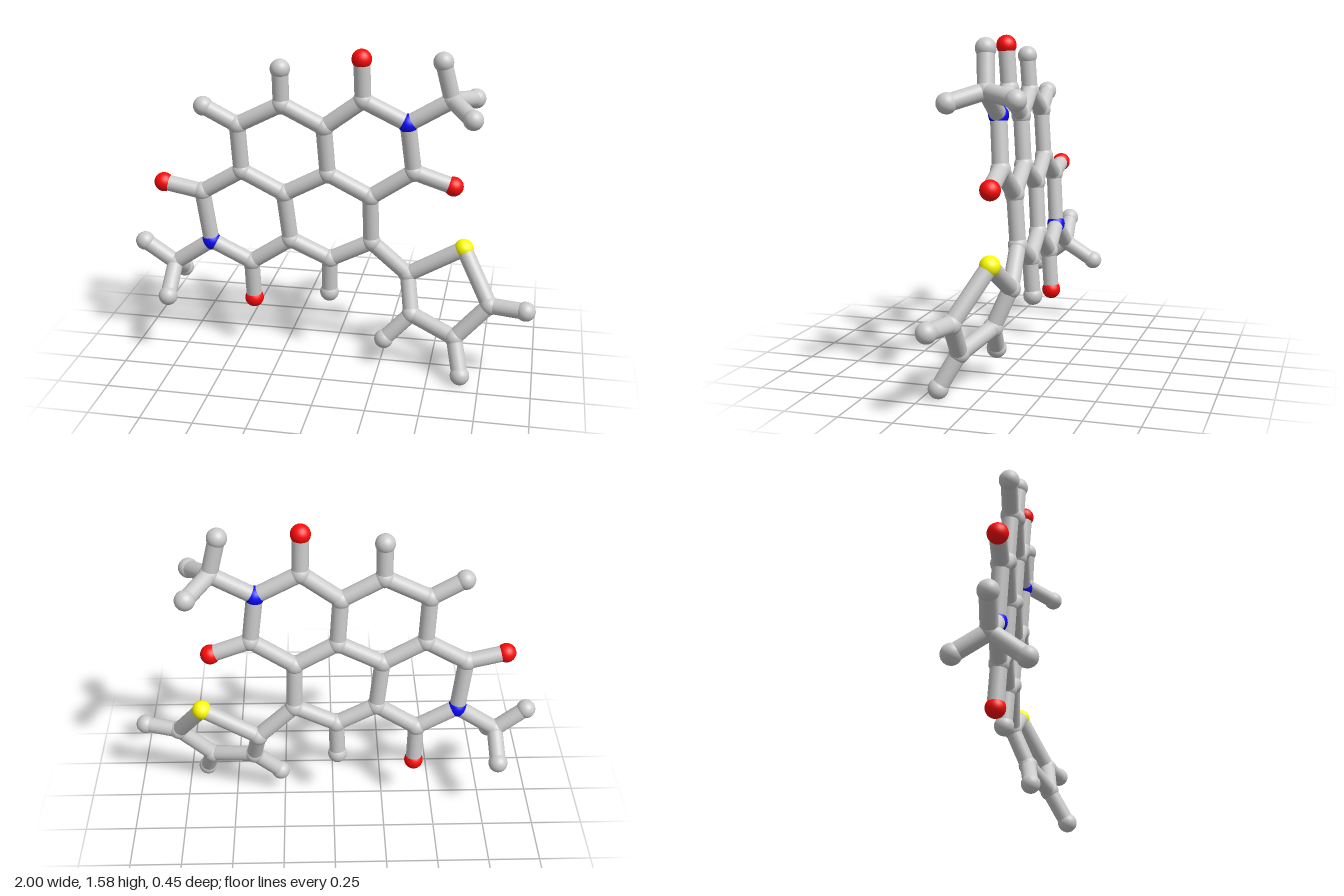
import * as THREE from 'three';

const ATOM_RADIUS = 0.047;
const BOND_RADIUS = 0.039;

// The fused ring sheet is flat and slightly tilted
const sheet = (x, y) => [x, y, -0.087 - 0.04 * x + 0.072 * y];

// Atoms, named by element and place
const atoms = {
  // four fused rings
  C1: sheet(-0.45, 1.2), C2: sheet(-0.235, 1.31), C3: sheet(-0.035, 1.205),
  C4: sheet(-0.02, 0.97), C5: sheet(-0.235, 0.855), C6: sheet(-0.44, 0.965),
  C7: sheet(-0.64, 0.845), N1: sheet(-0.61, 0.58), C8: sheet(-0.41, 0.475),
  C9: sheet(-0.21, 0.61), C10: sheet(-0.015, 0.515), C11: sheet(0.19, 0.62),
  C12: sheet(0.185, 0.86), C13: sheet(0.39, 1.0), N2: sheet(0.36, 1.24),
  C14: sheet(0.15, 1.345),
  // ends on the sheet
  O1: sheet(-0.83, 0.885), O2: sheet(-0.405, 0.27), O3: sheet(0.58, 0.935),
  O4: sheet(0.145, 1.543), H1: sheet(-0.61, 1.287), H2: sheet(-0.235, 1.483),
  H3: sheet(-0.02, 0.33),
  // twisted five-sided ring
  C15: [0.37, 0.455, -0.07], S1: [0.64, 0.615, -0.06], C16: [0.78, 0.385, 0.068],
  C17: [0.62, 0.21, 0.09], C18: [0.4, 0.275, 0.005],
  H4: [0.952, 0.39, 0.113], H5: [0.66, 0.053, 0.175], H6: [0.27, 0.14, 0.03],
  // upper right three-armed end
  C19: [0.56, 1.36, -0.02], H7: [0.515, 1.54, -0.005],
  H8: [0.667, 1.312, 0.12], H9: [0.658, 1.33, -0.183],
  // lower left three-armed end
  C20: [-0.805, 0.445, -0.025], H10: [-0.953, 0.555, -0.01],
  H11: [-0.8, 0.328, 0.13], H12: [-0.81, 0.35, -0.178],
};

// Chains of bonded atoms
const chains = [
  'C1 C2 C3 C4 C5 C6 C1', 'C6 C7 N1 C8 C9 C5', 'C9 C10 C11 C12 C4',
  'C12 C13 N2 C14 C3', 'C7 O1', 'C8 O2', 'C13 O3', 'C14 O4',
  'C1 H1', 'C2 H2', 'C10 H3',
  'C11 C15 S1 C16 C17 C18 C15', 'C16 H4', 'C17 H5', 'C18 H6',
  'N2 C19 H7', 'H8 C19 H9', 'N1 C20 H10', 'H11 C20 H12',
];

const elements = {
  C: ['carbon', 0xcccccc], H: ['hydrogen', 0xcccccc], O: ['oxygen', 0xff0a0a],
  N: ['nitrogen', 0x0a0aff], S: ['sulfur', 0xffff00],
};

export function createModel() {
  const model = new THREE.Group();
  model.name = 'molecule';
  const atomGroup = new THREE.Group();
  atomGroup.name = 'atoms';
  const bondGroup = new THREE.Group();
  bondGroup.name = 'bonds';
  model.add(atomGroup, bondGroup);

  const materials = {};
  for (const key in elements) {
    materials[key] = new THREE.MeshStandardMaterial({ color: elements[key][1] });
  }
  const ball = new THREE.SphereGeometry(ATOM_RADIUS, 28, 18);
  const rod = new THREE.CylinderGeometry(BOND_RADIUS, BOND_RADIUS, 1, 24, 1, true);
  const up = new THREE.Vector3(0, 1, 0);

  // Atom balls
  for (const [id, position] of Object.entries(atoms)) {
    const mesh = new THREE.Mesh(ball, materials[id[0]]);
    mesh.name = elements[id[0]][0] + id.slice(1);
    mesh.position.set(...position);
    atomGroup.add(mesh);
  }

  // Bond rods between neighbours in each chain
  for (const chain of chains) {
    const ids = chain.split(' ');
    for (let i = 1; i < ids.length; i++) {
      const a = new THREE.Vector3(...atoms[ids[i - 1]]);
      const b = new THREE.Vector3(...atoms[ids[i]]);
      const along = b.clone().sub(a);
      const mesh = new THREE.Mesh(rod, materials.C);
      mesh.name = 'bond';
      mesh.position.copy(a).lerp(b, 0.5);
      mesh.scale.y = along.length();
      mesh.quaternion.setFromUnitVectors(up, along.normalize());
      bondGroup.add(mesh);
    }
  }
  return model;
}
